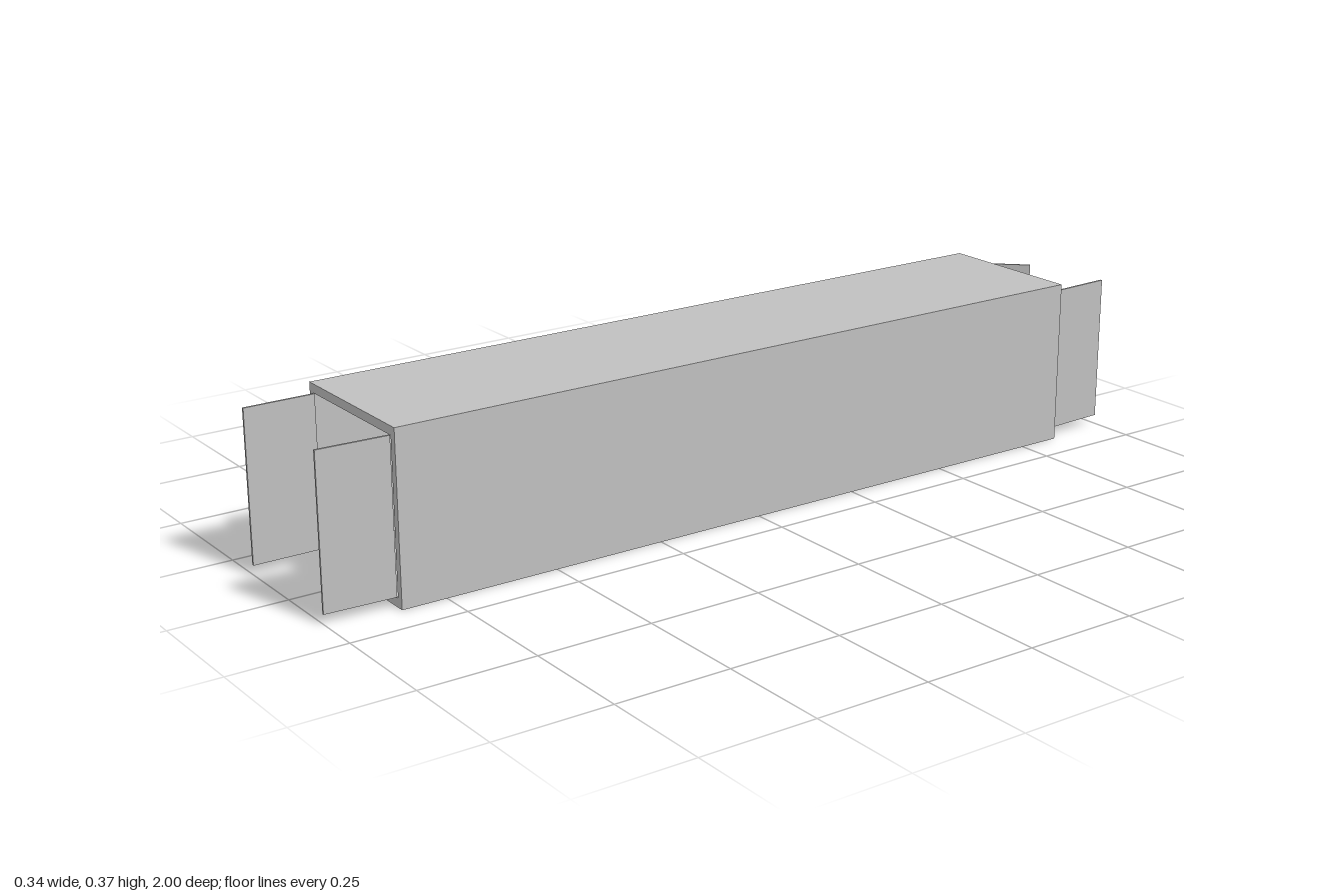
import * as THREE from 'three';

const grey = new THREE.MeshStandardMaterial({ color: 0xc0c0c0 });
grey.name = 'grey metal';

// Rectangle corners, used for the tube's outline and its opening
function rectangle(target, x0, y0, x1, y1) {
  target.moveTo(x0, y0);
  target.lineTo(x1, y0);
  target.lineTo(x1, y1);
  target.lineTo(x0, y1);
  target.closePath();
  return target;
}

// Thin door panel standing between a hinge point and a free edge, seen from above
function makeDoor(name, [hx, hz], [ex, ez]) {
  const length = Math.hypot(ex - hx, ez - hz);
  const door = new THREE.Mesh(new THREE.BoxGeometry(0.005, 0.326, length), grey);
  door.name = name;
  door.position.set((hx + ex) / 2, 0.1835, (hz + ez) / 2);
  door.rotation.y = Math.atan2(ex - hx, ez - hz);
  return door;
}

export function createModel() {
  const model = new THREE.Group();
  model.name = 'openContainer';

  // Square tube, open at both ends
  const length = 1.696;
  const outline = rectangle(new THREE.Shape(), -0.172, 0, 0.172, 0.366);
  outline.holes.push(rectangle(new THREE.Path(), -0.157, 0.02, 0.157, 0.347));
  const shell = new THREE.Mesh(
    new THREE.ExtrudeGeometry(outline, { depth: length, bevelEnabled: false }), grey);
  shell.name = 'shell';
  shell.position.z = -length / 2;
  model.add(shell);

  // Doors, each swung open by its own amount
  model.add(
    makeDoor('frontRightDoor', [-0.154, 0.848], [-0.154, 1]),
    makeDoor('frontLeftDoor', [0.152, 0.848], [0.145, 1]),
    makeDoor('backRightDoor', [-0.153, -0.85], [-0.049, -0.96]),
    makeDoor('backLeftDoor', [0.152, -0.848], [0.145, -1]),
  );
  return model;
}
